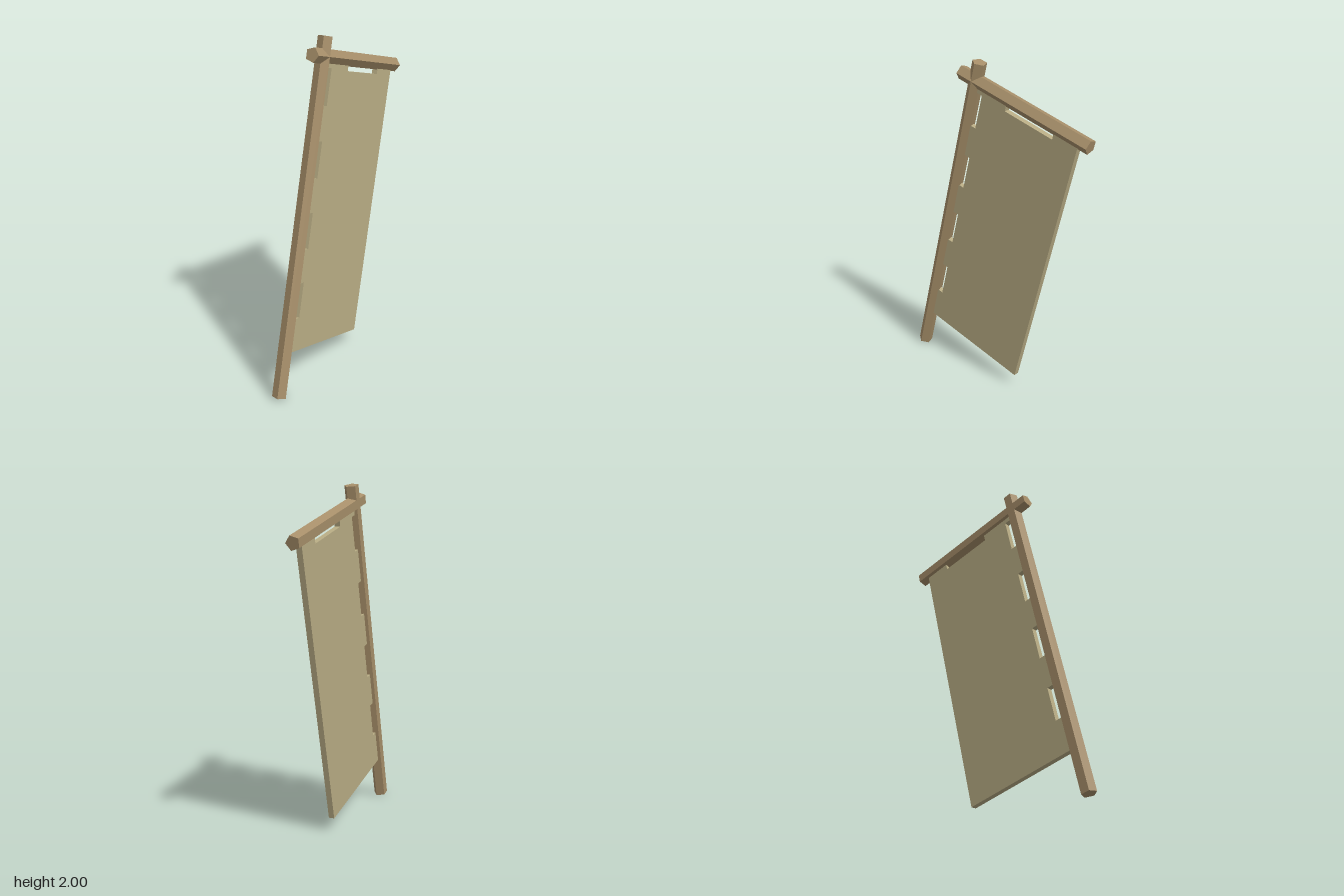
import * as THREE from 'three';

const wood = new THREE.MeshStandardMaterial({ color: 0xa68e69 });
wood.name = 'wood';
const cloth = new THREE.MeshStandardMaterial({ color: 0xb8ac84 });
cloth.name = 'cloth';

// five-sided beam along y, one ridge pointing to +x
function beam(name, length) {
  const geo = new THREE.CylinderGeometry(0.043, 0.043, length, 5).toNonIndexed();
  geo.rotateY(Math.PI / 2);
  geo.computeVertexNormals();
  const mesh = new THREE.Mesh(geo, wood);
  mesh.name = name;
  return mesh;
}

export function createModel() {
  const model = new THREE.Group();
  model.name = 'banner';

  // everything is built upright, then leaned back as one
  const frame = new THREE.Group();
  frame.name = 'leaningFrame';
  frame.position.set(-0.004, 0.0105, 0.613);
  frame.rotation.x = -0.248;
  model.add(frame);

  const pole = beam('pole', 2.04);
  pole.position.y = 1.02;
  frame.add(pole);

  const crossbar = beam('crossbar', 0.918);
  crossbar.rotation.x = Math.PI / 2;
  crossbar.position.set(0, 1.932, -0.348);
  frame.add(crossbar);

  // cloth outline: u runs away from the pole, v runs up it
  const inner = 0.02, outer = 0.743, bottom = 0.261, top = 1.91;
  const shape = new THREE.Shape();
  shape.moveTo(inner, bottom);
  shape.lineTo(outer, bottom);
  shape.lineTo(outer, top);
  // opening under the crossbar
  shape.lineTo(0.582, top);
  shape.lineTo(0.582, 1.864);
  shape.lineTo(0.246, 1.864);
  shape.lineTo(0.246, top);
  shape.lineTo(inner, top);
  // openings beside the pole, top to bottom
  for (let i = 0; i < 4; i++) {
    const high = 1.873 - i * 0.402;
    shape.lineTo(inner, high);
    shape.lineTo(0.073, high);
    shape.lineTo(0.073, high - 0.207);
    shape.lineTo(inner, high - 0.207);
  }
  shape.closePath();

  const thickness = 0.034;
  const geo = new THREE.ExtrudeGeometry(shape, { depth: thickness, bevelEnabled: false });
  geo.translate(0, 0, -thickness / 2);
  geo.rotateY(Math.PI / 2);
  const sheet = new THREE.Mesh(geo, cloth);
  sheet.name = 'cloth';
  frame.add(sheet);

  return model;
}
